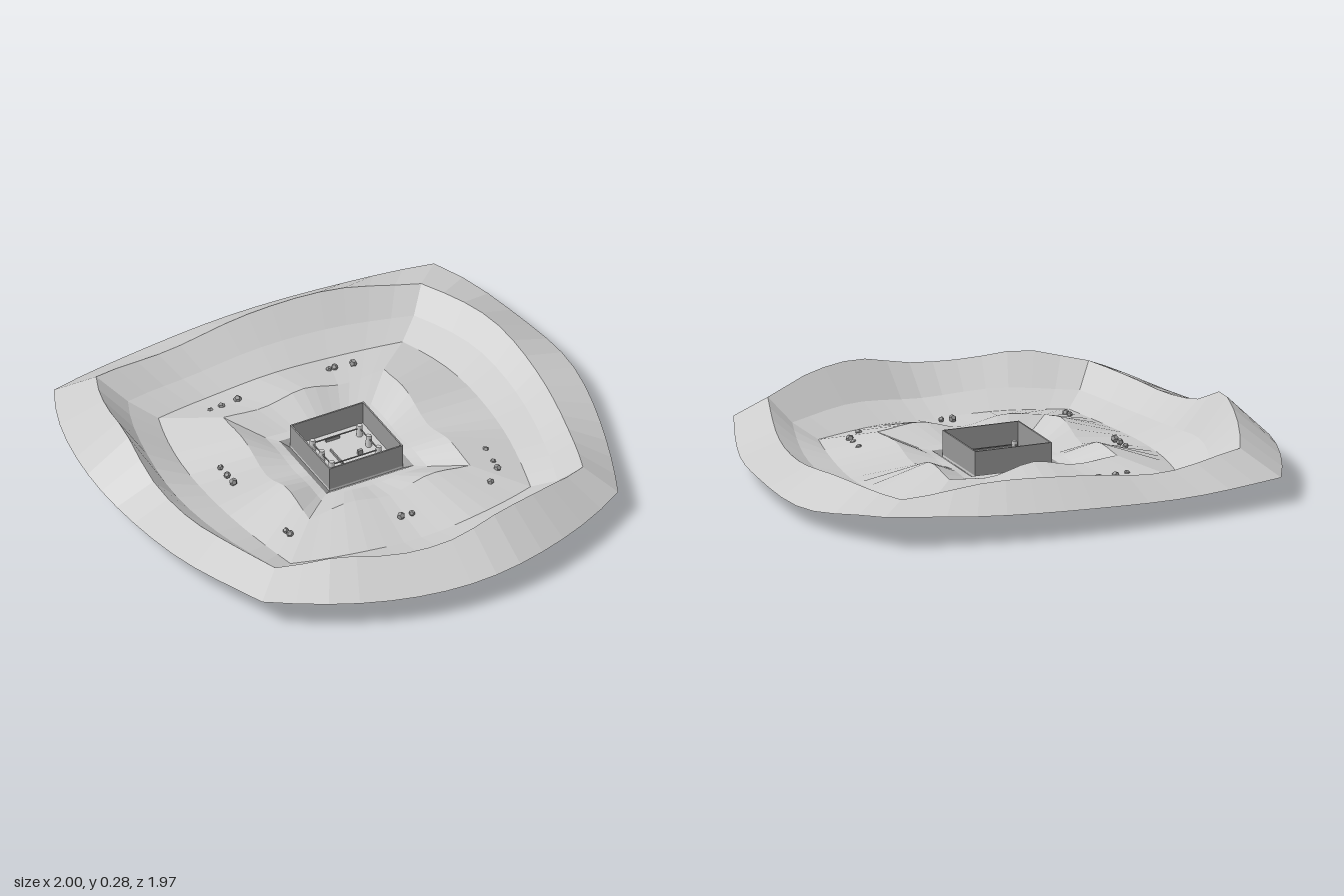
import * as THREE from 'three';

const SEG = 14; // divisions along each side of a ring

// Closed four-sided ring: corners run back-left, back-right, front-right, front-left;
// bulge bows the sides outward (fuller toward the back), heights hold control values per side.
function ring(corners, bulge, heights) {
  const points = [];
  const dirs = [[0, -1], [1, 0], [0, 1], [-1, 0]];
  const lean = [0, 0.5, 0, -0.5];
  for (let side = 0; side < 4; side++) {
    const [x0, z0] = corners[side];
    const [x1, z1] = corners[(side + 1) % 4];
    const curve = new THREE.SplineCurve(heights[side].map((h, i) => new THREE.Vector2(i, h)));
    for (let i = 0; i < SEG; i++) {
      const u = i / SEG;
      const b = bulge[side] * 4 * u * (1 - u) * (1 + lean[side] * (0.5 - u));
      points.push(new THREE.Vector3(
        x0 + (x1 - x0) * u + dirs[side][0] * b,
        curve.getPoint(u).y,
        z0 + (z1 - z0) * u + dirs[side][1] * b));
    }
  }
  return points;
}

const rect = (l, b, r, f) => [[l, b], [r, b], [r, f], [l, f]];
const level = (h) => Array.from({ length: 4 }, () => Array(5).fill(h));
const straight = [0, 0, 0, 0];

// Faceted surface between two rings, facing up, with one normal per four-sided facet
function band(name, outer, inner, material) {
  const pos = [], nor = [];
  const n = outer.length;
  for (let i = 0; i < n; i++) {
    const j = (i + 1) % n;
    const normal = inner[j].clone().sub(outer[i]).cross(outer[j].clone().sub(inner[i])).normalize();
    for (const p of [outer[i], inner[i], outer[j], outer[j], inner[i], inner[j]]) {
      pos.push(p.x, p.y, p.z);
      nor.push(normal.x, normal.y, normal.z);
    }
  }
  const geo = new THREE.BufferGeometry();
  geo.setAttribute('position', new THREE.Float32BufferAttribute(pos, 3));
  geo.setAttribute('normal', new THREE.Float32BufferAttribute(nor, 3));
  const mesh = new THREE.Mesh(geo, material);
  mesh.name = name;
  return mesh;
}

export function createModel() {
  const group = new THREE.Group();
  const mat = (name, color) => {
    const m = new THREE.MeshStandardMaterial({ color, side: THREE.DoubleSide });
    m.name = name;
    return m;
  };
  const land = mat('pale ground', 0xcccccc);
  const stone = mat('grey stone', 0x969696);

  const box = (name, w, h, d, x, y, z, material) => {
    const m = new THREE.Mesh(new THREE.BoxGeometry(w, h, d), material);
    m.position.set(x, y, z);
    m.name = name;
    group.add(m);
  };

  // Terrain rings from the outer edge in to the pit
  const edge = ring([[-0.84, -0.88], [0.81, -0.87], [0.76, 0.72], [-0.79, 0.72]], [0.11, 0.21, 0.26, 0.18], [
    [0.10, 0.09, 0.10, 0.11, 0.13], [0.13, 0.075, 0.09, 0.075, 0.10],
    [0.10, 0.11, 0.105, 0.11, 0.12], [0.12, 0.10, 0.12, 0.13, 0.10]]);
  const ridge = ring([[-0.72, -0.76], [0.69, -0.75], [0.66, 0.62], [-0.68, 0.62]], [0.09, 0.15, 0.185, 0.14], [
    [0.20, 0.16, 0.195, 0.205, 0.155], [0.155, 0.17, 0.14, 0.14, 0.19],
    [0.19, 0.235, 0.245, 0.20, 0.195, 0.22, 0.18], [0.18, 0.17, 0.16, 0.195, 0.285, 0.25, 0.20]]);
  const slope = ring([[-0.63, -0.67], [0.61, -0.66], [0.59, 0.545], [-0.61, 0.545]], [0.075, 0.13, 0.14, 0.12], [
    [0.11, 0.09, 0.105, 0.105, 0.09], [0.09, 0.10, 0.08, 0.08, 0.10],
    [0.10, 0.115, 0.09, 0.105, 0.09], [0.09, 0.08, 0.09, 0.125, 0.11]]);
  const basin = ring([[-0.54, -0.59], [0.52, -0.585], [0.515, 0.465], [-0.53, 0.465]], [0.05, 0.09, 0.09, 0.07], [
    [0.05, 0.045, 0.05, 0.045, 0.045], [0.045, 0.05, 0.045, 0.05, 0.045],
    [0.045, 0.05, 0.045, 0.05, 0.045], [0.045, 0.045, 0.05, 0.05, 0.05]]);
  // Uneven bank surrounding the pit
  const mound = ring(rect(-0.36, -0.40, 0.34, 0.30), straight, [
    [0.115, 0.10, 0.13, 0.09, 0.10], [0.10, 0.12, 0.07, 0.11, 0.10],
    [0.10, 0.12, 0.08, 0.11, 0.09], [0.09, 0.12, 0.07, 0.12, 0.115]]);
  const brink = ring(rect(-0.24, -0.28, 0.22, 0.175), straight, [
    [0.055, 0.05, 0.06, 0.05, 0.055], [0.055, 0.06, 0.05, 0.06, 0.055],
    [0.055, 0.06, 0.05, 0.06, 0.055], [0.055, 0.06, 0.05, 0.06, 0.055]]);
  const lip = ring(rect(-0.20, -0.24, 0.18, 0.14), straight, level(0.05));
  const foot = ring(rect(-0.17, -0.21, 0.15, 0.11), straight, level(0.03));

  group.add(
    band('outerSlope', edge, ridge, land),
    band('ridgeInnerSlope', ridge, slope, land),
    band('lowerSlope', slope, basin, land),
    band('basinFloor', basin, mound, land),
    band('innerSlope', mound, brink, land),
    band('pitBrink', brink, lip, land),
    band('pitSkirt', lip, foot, stone));

  // Sunken chamber: pale base with grey upright walls
  const cx = -0.01, cz = -0.05, size = 0.32, top = 0.137;
  box('chamberBase', size, 0.04, size, cx, 0.02, cz, land);
  for (const s of [-1, 1]) {
    const h = top - 0.04, y = 0.04 + h / 2, o = s * (size / 2 - 0.003);
    box('chamberWall', 0.006, h, size, cx + o, y, cz, stone);
    box('chamberWall', size, h, 0.006, cx, y, cz + o, stone);
  }

  // Pale posts with thin rails inside the chamber
  for (const x of [-0.11, 0.095]) {
    for (const z of [-0.14, -0.065, 0.015]) {
      const post = new THREE.Mesh(new THREE.CylinderGeometry(0.011, 0.013, 0.05, 6), land);
      post.position.set(x, 0.065, z);
      post.name = 'post';
      group.add(post);
    }
    box('sideRail', 0.004, 0.004, 0.155, x, 0.075, -0.062, stone);
  }
  for (const z of [-0.14, 0.015]) box('crossRail', 0.205, 0.004, 0.004, -0.008, 0.075, z, stone);
  box('centreRail', 0.006, 0.01, 0.1, -0.05, 0.045, -0.055, stone);
  box('smallBlock', 0.02, 0.02, 0.012, 0.04, 0.05, -0.035, stone);
  box('smallBlock', 0.06, 0.012, 0.01, -0.01, 0.046, -0.165, stone);

  // Loose rocks scattered around the basin
  const rocks = [
    [-0.355, -0.51], [-0.305, -0.515], [-0.23, -0.525], [0.17, -0.53], [0.195, -0.53], [0.27, -0.52],
    [-0.495, -0.17], [-0.495, -0.115], [-0.495, -0.065], [-0.465, 0.305], [-0.46, 0.33],
    [-0.03, 0.43], [0.015, 0.435], [0.375, 0.4], [0.44, 0.335], [0.445, 0.29], [0.455, 0.21]];
  rocks.forEach(([x, z], i) => {
    const rock = new THREE.Mesh(new THREE.DodecahedronGeometry(0.012 + 0.002 * (i % 3)), stone);
    rock.position.set(x, 0.075, z);
    rock.rotation.set(i, i * 2, 0);
    rock.name = 'rock';
    group.add(rock);
  });

  return group;
}
